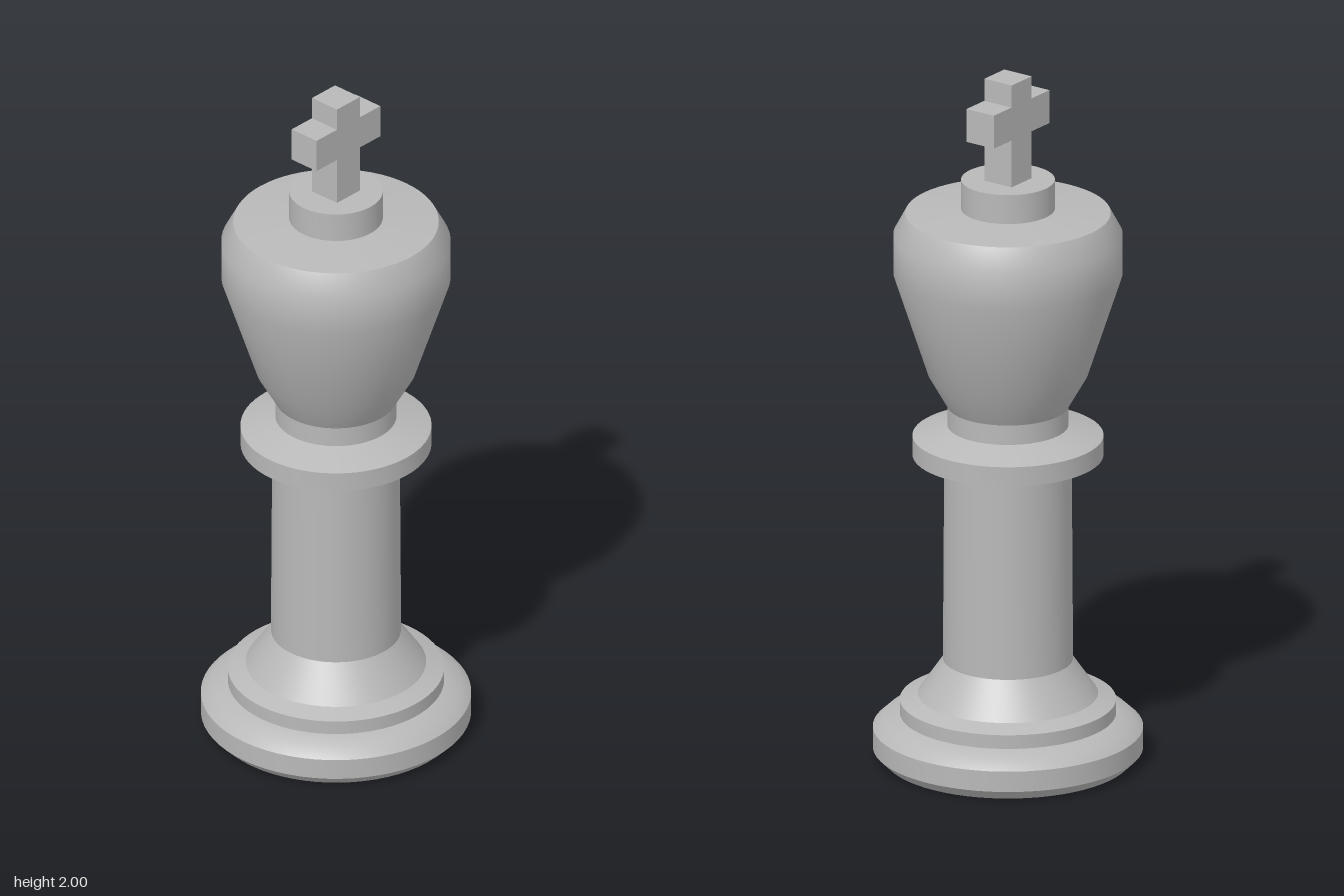
import * as THREE from 'three';
import { toCreasedNormals } from 'three/addons/utils/BufferGeometryUtils.js';

export function createModel() {
  const model = new THREE.Group();
  model.name = 'chessKing';
  const grey = new THREE.MeshStandardMaterial({ color: 0xb8b8b8 });
  grey.name = 'grey';

  // Turned part from [radius, height] pairs, listed bottom to top
  function turned(name, profile) {
    const points = profile.map(([r, y]) => new THREE.Vector2(r, y));
    const geometry = toCreasedNormals(new THREE.LatheGeometry(points, 64), 0.5);
    const mesh = new THREE.Mesh(geometry, grey);
    mesh.name = name;
    model.add(mesh);
  }

  // Stepped foot
  turned('base', [
    [0, 0], [0.345, 0], [0.375, 0.03], [0.375, 0.09], [0.345, 0.118],
    [0.3, 0.13], [0.3, 0.17], [0.25, 0.188],
  ]);

  // Flared foot of the column and its straight shaft
  turned('shaft', [[0.25, 0.188], [0.18, 0.29], [0.18, 0.39], [0.177, 0.87]]);

  // Bevelled ring and the short neck above it
  turned('collar', [
    [0.177, 0.87], [0.265, 0.89], [0.265, 0.947], [0.168, 0.978],
  ]);
  turned('neck', [[0.168, 0.978], [0.168, 1.035]]);

  // Widening head with bevelled shoulder and shallow top
  turned('head', [
    [0.168, 1.035], [0.222, 1.13], [0.318, 1.425], [0.318, 1.54],
    [0.285, 1.602], [0.13, 1.615],
  ]);

  // Cylindrical stand for the cross
  turned('finialBase', [[0.13, 1.612], [0.13, 1.7], [0, 1.7]]);

  // Cross outline, extruded through its depth
  const w = 0.047, arm = 0.13, low = 1.838, high = 1.935, top = 2;
  const half = [[w, 1.7], [w, low], [arm, low], [arm, high], [w, high], [w, top]];
  const outline = [...half, ...half.map(([x, y]) => [-x, y]).reverse()];
  const shape = new THREE.Shape(outline.map(([x, y]) => new THREE.Vector2(x, y)));
  const crossGeometry = new THREE.ExtrudeGeometry(shape, { depth: 2 * w, bevelEnabled: false });
  crossGeometry.translate(0, 0, -w);
  const cross = new THREE.Mesh(crossGeometry, grey);
  cross.name = 'cross';
  model.add(cross);

  return model;
}
